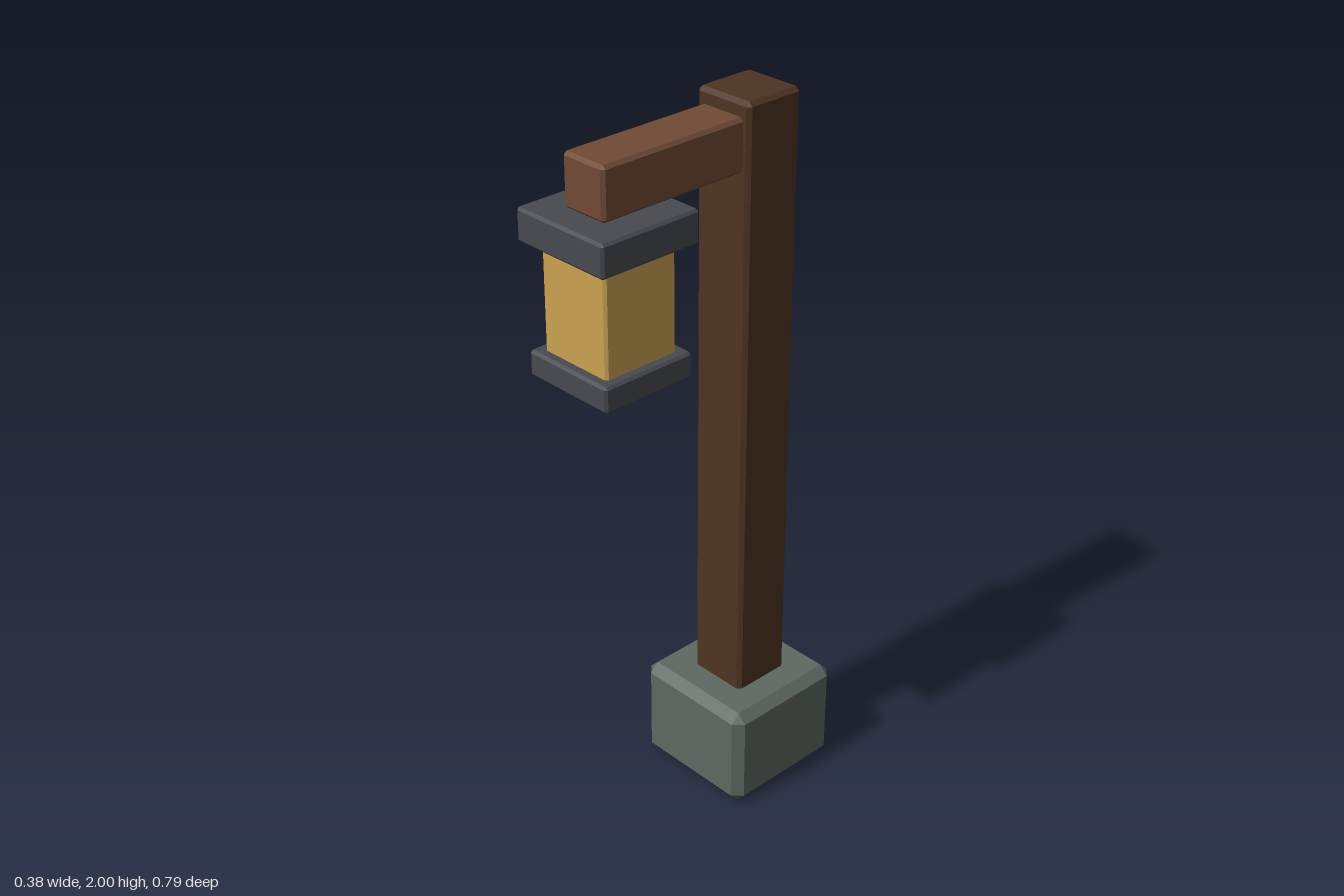
import * as THREE from 'three';
import { ConvexGeometry } from 'three/addons/geometries/ConvexGeometry.js';

const material = (name, color) => {
  const m = new THREE.MeshStandardMaterial({ color });
  m.name = name;
  return m;
};

// Box with flat chamfers: three corner points at each of the eight corners
function chamferBox(w, h, d, c) {
  const half = [w / 2, h / 2, d / 2];
  const points = [];
  for (const sx of [-1, 1]) for (const sy of [-1, 1]) for (const sz of [-1, 1]) {
    for (let axis = 0; axis < 3; axis++) {
      const p = half.map((s, i) => (i === axis ? s : s - c));
      points.push(new THREE.Vector3(p[0] * sx, p[1] * sy, p[2] * sz));
    }
  }
  return new ConvexGeometry(points);
}

export function createModel() {
  const group = new THREE.Group();
  group.name = 'lanternPost';

  const stone = material('stone', 0x5e6862);
  const darkWood = material('darkWood', 0x4e3423);
  const lightWood = material('lightWood', 0x704a36);
  const iron = material('iron', 0x474a50);
  const glass = material('amberGlass', 0xcba252);

  // Adds a part by width, bottom and top height, back and front depth
  const add = (parent, name, mat, w, y0, y1, z0, z1, chamfer) => {
    const mesh = new THREE.Mesh(chamferBox(w, y1 - y0, z1 - z0, chamfer), mat);
    mesh.position.set(0, (y0 + y1) / 2, (z0 + z1) / 2);
    mesh.name = name;
    parent.add(mesh);
  };

  // Stone foot, upright post and the arm reaching forward
  add(group, 'base', stone, 0.376, 0, 0.3, -0.396, -0.02, 0.026);
  add(group, 'post', darkWood, 0.178, 0.26, 2, -0.298, -0.12, 0.011);
  add(group, 'arm', lightWood, 0.14, 1.82, 1.96, -0.2, 0.319, 0.009);

  // Lantern hanging under the end of the arm
  const lantern = new THREE.Group();
  lantern.name = 'lantern';
  add(lantern, 'lanternCap', iron, 0.3, 1.733, 1.821, 0.095, 0.395, 0.007);
  add(lantern, 'lanternGlass', glass, 0.222, 1.44, 1.745, 0.134, 0.356, 0.007);
  add(lantern, 'lanternBottom', iron, 0.276, 1.383, 1.453, 0.107, 0.383, 0.007);
  group.add(lantern);

  return group;
}
